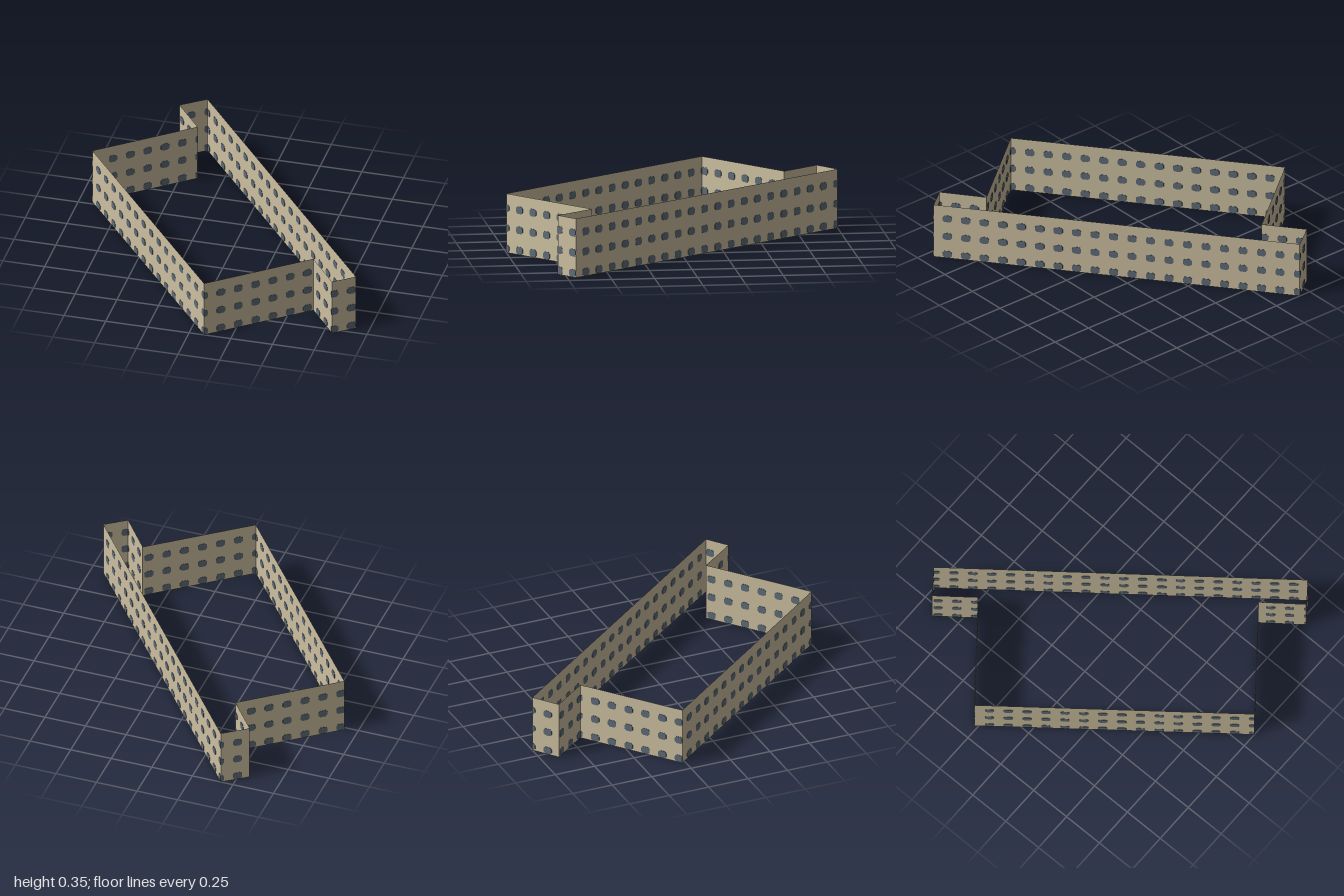
import * as THREE from 'three';

const HEIGHT = 0.348;
const ROWS = [0.025, 0.145, 0.263];
const WINDOW_COUNT = 55;
const HALF_W = 0.027, HALF_H = 0.022, PLATE = 0.004;

// Footprint corners (x, z), walked so that each wall faces outward
const CORNERS = [
  ['leftLongWall', -0.92, -0.27],
  ['frontWall', 0.09, 1.0],
  ['frontStepWall', 0.63, 0.57],
  ['frontWingWall', 0.80, 0.79],
  ['rightLongWall', 0.92, 0.70],
  ['backWingWall', -0.425, -1.0],
  ['backStepWall', -0.565, -0.895],
  ['backWall', -0.40, -0.685],
];

// Bevelled window outline, cut off at the ends of its wall
function windowShape(u, v, length) {
  const outline = [
    [-1, -0.5], [-0.6, -1], [0.6, -1], [1, -0.5],
    [1, 0.5], [0.6, 1], [-0.6, 1], [-1, 0.5],
  ];
  return new THREE.Shape(outline.map(([a, b]) => new THREE.Vector2(
    THREE.MathUtils.clamp(u + a * HALF_W, 0, length), v + b * HALF_H)));
}

export function createModel() {
  const stone = new THREE.MeshStandardMaterial({ color: 0xcdc0a0, side: THREE.DoubleSide });
  stone.name = 'beigeWall';
  const glass = new THREE.MeshStandardMaterial({ color: 0x5f6c78 });
  glass.name = 'blueGreyWindow';

  const model = new THREE.Group();
  model.name = 'openBuildingShell';

  const walls = CORNERS.map(([name, x, z], i) => {
    const [, nx, nz] = CORNERS[(i + 1) % CORNERS.length];
    return { name, x, z, dx: nx - x, dz: nz - z, length: Math.hypot(nx - x, nz - z) };
  });
  const spacing = walls.reduce((sum, w) => sum + w.length, 0) / WINDOW_COUNT;

  let travelled = 0;
  for (const { name, x, z, dx, dz, length } of walls) {
    const group = new THREE.Group();
    group.name = name;
    group.position.set(x, 0, z);
    group.rotation.y = Math.atan2(-dz, dx);

    // Thin wall sheet
    const sheet = new THREE.PlaneGeometry(length, HEIGHT).translate(length / 2, HEIGHT / 2, 0);
    const wall = new THREE.Mesh(sheet, stone);
    wall.name = 'wallSheet';
    group.add(wall);

    // Windows run evenly round the whole perimeter and show on both sides
    const shapes = [];
    for (let k = -1; k <= WINDOW_COUNT; k++) {
      const u = 0.088 + k * spacing - travelled;
      if (u + HALF_W < 0.004 || u - HALF_W > length - 0.004) continue;
      for (const v of ROWS) shapes.push(windowShape(u, v, length));
    }
    const plates = new THREE.ExtrudeGeometry(shapes, { depth: PLATE, bevelEnabled: false });
    const windows = new THREE.Mesh(plates.translate(0, 0, -PLATE / 2), glass);
    windows.name = 'windows';
    group.add(windows);

    model.add(group);
    travelled += length;
  }
  return model;
}
